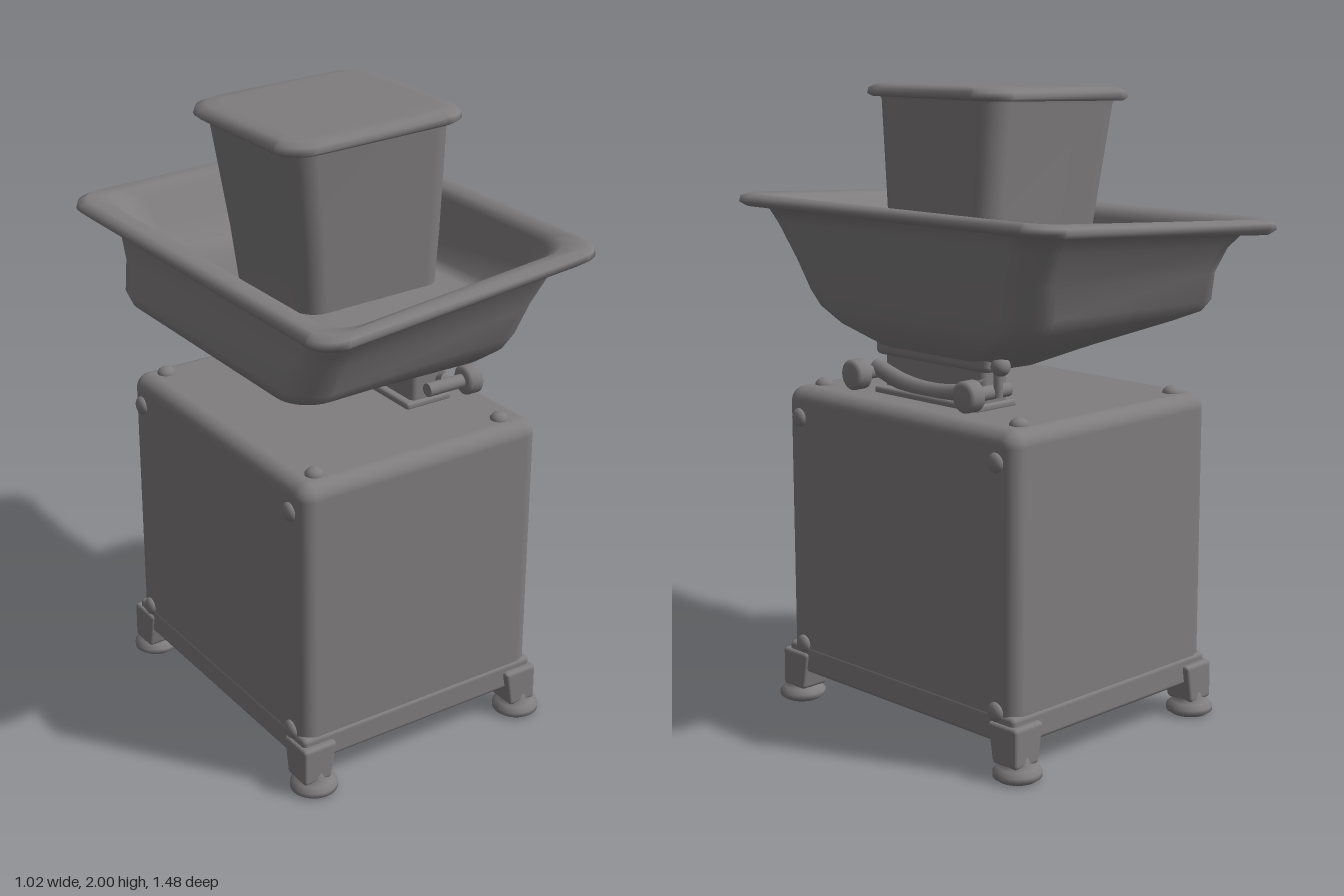
import * as THREE from 'three';
import { RoundedBoxGeometry } from 'three/addons/geometries/RoundedBoxGeometry.js';

const grey = new THREE.MeshStandardMaterial({ color: 0x807d7e });
grey.name = 'grey metal';

function add(parent, name, geometry, x = 0, y = 0, z = 0) {
  const mesh = new THREE.Mesh(geometry, grey);
  mesh.name = name;
  mesh.position.set(x, y, z);
  parent.add(mesh);
  return mesh;
}

// Skin through rounded trapezoid rings: [x0, x1, zHalf at x0, zHalf at x1, corner radius, y at x0, y at x1]
function loft(rings) {
  const steps = 8, count = 4 * (steps + 1), pos = [], index = [];
  for (const [x0, x1, z0, z1, r, y0, y1] of rings) {
    for (let c = 0; c < 4; c++) {
      const right = c === 0 || c === 3, front = c < 2;
      for (let s = 0; s <= steps; s++) {
        const a = (c + s / steps) * Math.PI / 2;
        const x = (right ? x1 - r : x0 + r) + r * Math.cos(a);
        const t = (x - x0) / (x1 - x0);
        const half = THREE.MathUtils.lerp(z0, z1, t);
        const z = (front ? half - r : r - half) + r * Math.sin(a);
        pos.push(x, THREE.MathUtils.lerp(y0, y1, t), z);
      }
    }
  }
  for (let i = 0; i < rings.length - 1; i++) {
    for (let j = 0; j < count; j++) {
      const a = i * count + j, b = i * count + (j + 1) % count;
      index.push(a, a + count, b, b, a + count, b + count);
    }
  }
  const g = new THREE.BufferGeometry();
  g.setAttribute('position', new THREE.Float32BufferAttribute(pos, 3));
  g.setIndex(index);
  g.computeVertexNormals();
  return g;
}

export function createModel() {
  const model = new THREE.Group();
  model.name = 'scale with tray';

  // Housing
  add(model, 'housing', new RoundedBoxGeometry(0.87, 0.93, 1.02, 5, 0.05), 0.005, 0.58, 0);
  add(model, 'baseFrame', new RoundedBoxGeometry(0.875, 0.09, 1.03, 3, 0.015), 0.005, 0.15, 0);

  // Corner brackets, feet and bolts
  const footProfile = [[0, 0], [0.06, 0], [0.074, 0.01], [0.074, 0.025], [0.06, 0.04], [0.042, 0.052], [0.038, 0.1], [0, 0.1]]
    .map(p => new THREE.Vector2(...p));
  const bolt = new THREE.SphereGeometry(0.03, 16, 10);
  for (const sx of [-1, 1]) {
    for (const sz of [-1, 1]) {
      const corner = new THREE.Group();
      corner.name = 'corner';
      model.add(corner);
      add(corner, 'foot', new THREE.LatheGeometry(footProfile, 28), 0.01 + sx * 0.395, 0, sz * 0.495);
      const bracket = new RoundedBoxGeometry(0.12, 0.125, 0.12, 3, 0.012);
      const p = bracket.attributes.position;
      for (let i = 0; i < p.count; i++) { // narrow towards the foot
        const k = 0.82 + 0.18 * (p.getY(i) + 0.0625) / 0.125;
        p.setX(i, sx * 0.06 + (p.getX(i) - sx * 0.06) * k);
        p.setZ(i, sz * 0.06 + (p.getZ(i) - sz * 0.06) * k);
      }
      bracket.computeVertexNormals();
      add(corner, 'footBracket', bracket, 0.005 + sx * 0.388, 0.107, sz * 0.475);
      add(corner, 'topBolt', bolt, sx * 0.34, 1.043, sz * 0.435).scale.y = 0.8;
      for (const y of [0.2, 0.95])
        add(corner, 'sideBolt', bolt, 0.005 + sx * 0.436, y, sz * 0.44).scale.x = 0.6;
    }
  }

  // Tray support, saddle bar and clamp knobs
  const support = new THREE.Group();
  support.name = 'traySupport';
  model.add(support);
  add(support, 'mountPlate', new RoundedBoxGeometry(0.17, 0.025, 0.46, 2, 0.01), 0.225, 1.052, 0);
  add(support, 'supportBlock', new RoundedBoxGeometry(0.11, 0.17, 0.44, 3, 0.02), 0.22, 1.13, 0);
  add(support, 'cradle', new RoundedBoxGeometry(0.1, 0.06, 0.5, 3, 0.02), 0.24, 1.19, 0);
  const saddle = new THREE.CatmullRomCurve3([[-0.25, 1.12], [-0.12, 1.085], [0, 1.075], [0.12, 1.085], [0.25, 1.12]]
    .map(([z, y]) => new THREE.Vector3(0.28, y, z)));
  add(support, 'saddleBar', new THREE.TubeGeometry(saddle, 24, 0.028, 12));
  for (const sz of [-1, 1]) {
    add(support, 'knobShaft', new THREE.CylinderGeometry(0.022, 0.022, 0.16, 16), 0.28, 1.105, sz * 0.25).rotation.z = Math.PI / 2;
    const knob = [[0, -0.03], [0.035, -0.03], [0.048, -0.02], [0.048, 0.02], [0.035, 0.03], [0, 0.03]].map(p => new THREE.Vector2(...p));
    add(support, 'clampKnob', new THREE.LatheGeometry(knob, 24), 0.362, 1.105, sz * 0.25).rotation.z = -Math.PI / 2;
  }
  add(support, 'pinHead', new THREE.SphereGeometry(0.03, 16, 12), 0.26, 1.185, -0.28);
  add(support, 'pinStem', new THREE.CylinderGeometry(0.015, 0.015, 0.1, 12), 0.26, 1.14, -0.27);

  // Tilted tray: outside up to the rim, over it, then down the inside to the floor
  add(model, 'tray', loft([
    [0.07, 0.09, 0.01, 0.01, 0.004, 1.13, 1.13],
    [-0.06, 0.20, 0.16, 0.16, 0.08, 1.14, 1.145],
    [-0.24, 0.28, 0.28, 0.27, 0.12, 1.205, 1.18],
    [-0.41, 0.345, 0.46, 0.42, 0.12, 1.28, 1.25],
    [-0.45, 0.37, 0.52, 0.48, 0.11, 1.305, 1.30],
    [-0.458, 0.385, 0.55, 0.51, 0.11, 1.34, 1.35],
    [-0.435, 0.415, 0.58, 0.54, 0.11, 1.43, 1.45],
    [-0.42, 0.44, 0.635, 0.59, 0.1, 1.51, 1.56],
    [-0.44, 0.455, 0.67, 0.62, 0.1, 1.55, 1.607],
    [-0.495, 0.495, 0.725, 0.675, 0.09, 1.55, 1.612],
    [-0.512, 0.51, 0.742, 0.692, 0.09, 1.565, 1.625],
    [-0.508, 0.508, 0.738, 0.688, 0.09, 1.585, 1.642],
    [-0.485, 0.485, 0.715, 0.665, 0.085, 1.597, 1.652],
    [-0.43, 0.45, 0.68, 0.62, 0.1, 1.59, 1.643],
    [-0.405, 0.43, 0.66, 0.59, 0.12, 1.56, 1.62],
    [-0.4, 0.41, 0.6, 0.54, 0.13, 1.50, 1.53],
    [-0.39, 0.38, 0.53, 0.47, 0.13, 1.43, 1.44],
    [-0.34, 0.34, 0.44, 0.4, 0.12, 1.41, 1.42],
    [-0.22, 0.24, 0.25, 0.25, 0.1, 1.43, 1.44],
    [-0.01, 0.01, 0.01, 0.01, 0.004, 1.43, 1.44],
  ]));

  // Tapered container with an overhanging lid
  add(model, 'container', loft([
    [-0.215, 0.275, 0.215, 0.215, 0.07, 1.38, 1.38],
    [-0.24, 0.28, 0.235, 0.235, 0.075, 1.6, 1.6],
    [-0.29, 0.28, 0.262, 0.262, 0.08, 1.93, 1.95],
    [-0.297, 0.285, 0.268, 0.268, 0.08, 1.955, 1.975],
  ]));
  add(model, 'containerLid', loft([
    [-0.28, 0.27, 0.25, 0.25, 0.08, 1.95, 1.97],
    [-0.318, 0.303, 0.288, 0.288, 0.09, 1.943, 1.96],
    [-0.328, 0.313, 0.298, 0.298, 0.09, 1.952, 1.968],
    [-0.322, 0.31, 0.295, 0.295, 0.09, 1.972, 1.985],
    [-0.3, 0.295, 0.275, 0.275, 0.09, 1.983, 1.997],
    [-0.26, 0.26, 0.24, 0.24, 0.08, 1.986, 2.0],
    [-0.01, 0.01, 0.01, 0.01, 0.004, 1.993, 1.994],
  ]));
  return model;
}
